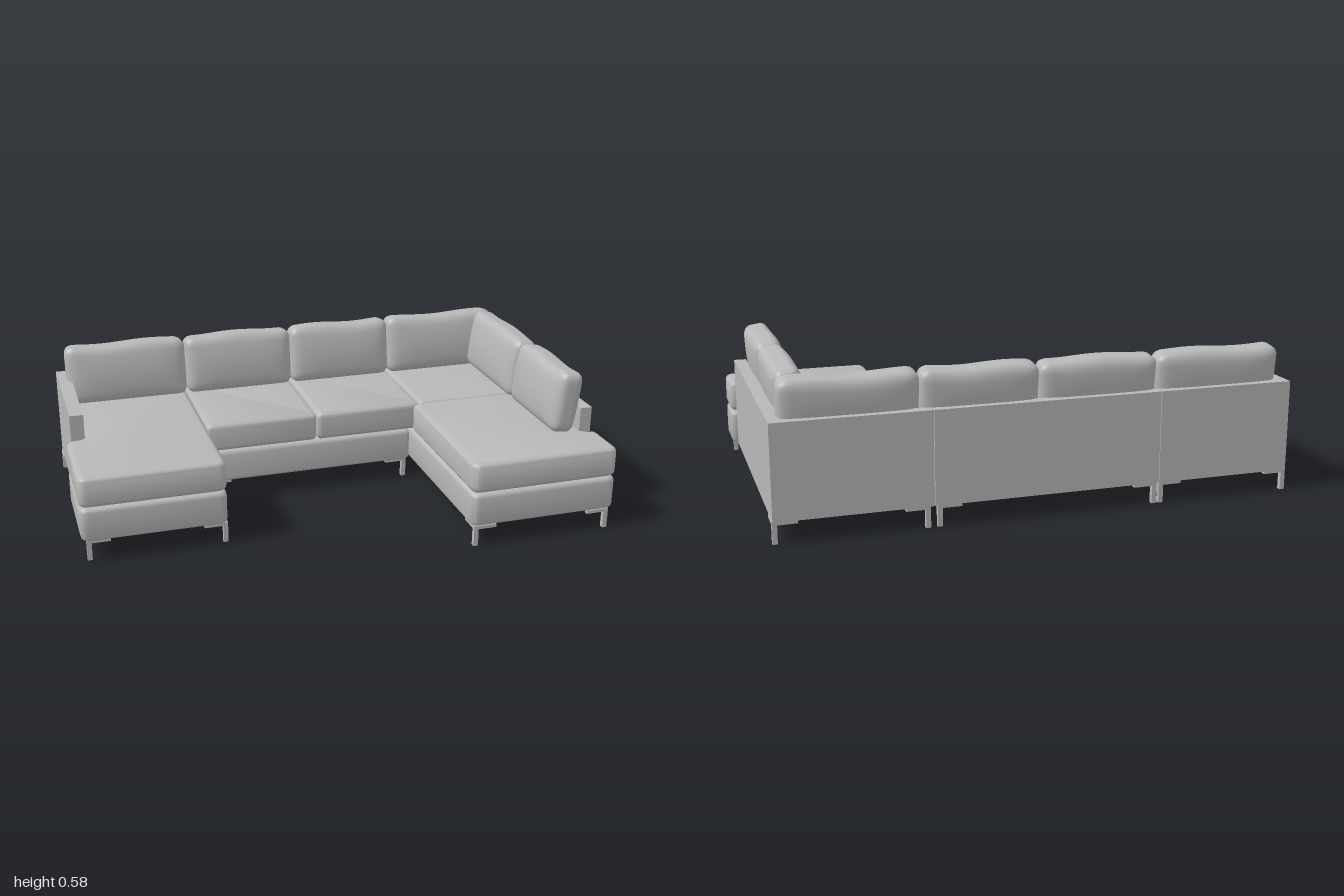
import * as THREE from 'three';
import { mergeVertices, toCreasedNormals } from 'three/addons/utils/BufferGeometryUtils.js';

const fabric = new THREE.MeshStandardMaterial({ color: 0xb8b8b8 });
fabric.name = 'grey upholstery';

function add(parent, name, geometry) {
  const mesh = new THREE.Mesh(geometry, fabric);
  mesh.name = name;
  parent.add(mesh);
  return mesh;
}

// Box given by its limits on each axis
function box(parent, name, [x0, x1], [y0, y1], [z0, z1]) {
  const mesh = add(parent, name, new THREE.BoxGeometry(x1 - x0, y1 - y0, z1 - z0));
  mesh.position.set((x0 + x1) / 2, (y0 + y1) / 2, (z0 + z1) / 2);
  return mesh;
}

// Upholstered slab: a floor outline of [x, z] corners with rounded corners and soft edges
function pad(parent, name, outline, y0, y1, bevel, radius = 0.035) {
  const pts = outline.map(([x, z]) => new THREE.Vector2(x, -z));
  const shape = new THREE.Shape();
  pts.forEach((p, i) => {
    const toward = (q) => {
      const d = q.clone().sub(p);
      return p.clone().add(d.setLength(Math.min(radius, d.length() * 0.45)));
    };
    const a = toward(pts[(i + pts.length - 1) % pts.length]);
    const b = toward(pts[(i + 1) % pts.length]);
    if (i === 0) shape.moveTo(a.x, a.y);
    else shape.lineTo(a.x, a.y);
    shape.quadraticCurveTo(p.x, p.y, b.x, b.y);
  });
  shape.closePath();
  const geometry = new THREE.ExtrudeGeometry(shape, {
    depth: y1 - y0 - 2 * bevel, bevelThickness: bevel, bevelSize: bevel,
    bevelOffset: -bevel, bevelSegments: 4, curveSegments: 5,
  });
  geometry.rotateX(-Math.PI / 2).translate(0, y0 + bevel, 0);
  return add(parent, name, toCreasedNormals(geometry, 0.8));
}

const rect = (x0, x1, z0, z1) => [[x0, z0], [x1, z0], [x1, z1], [x0, z1]];

// Loose back cushion: rounded block, fuller in the middle, with a slightly uneven top
function pillowGeometry(w, h, t, phase) {
  let geometry = new THREE.BoxGeometry(w, h, t, 28, 18, 10);
  geometry.deleteAttribute('uv');
  geometry.deleteAttribute('normal');
  geometry = mergeVertices(geometry);
  const pos = geometry.attributes.position;
  const r = 0.036;
  const inner = new THREE.Vector3(w / 2 - r, h / 2 - r, t / 2 - r);
  const p = new THREE.Vector3(), core = new THREE.Vector3();
  for (let i = 0; i < pos.count; i++) {
    p.fromBufferAttribute(pos, i);
    core.copy(p).clamp(inner.clone().negate(), inner);
    p.sub(core).setLength(r).add(core);
    const u = (2 * p.x) / w, v = (2 * p.y) / h;
    p.z *= 0.74 + 0.26 * (1 - u ** 4) * (1 - v * v);
    if (v > 0) p.y += 0.004 * v * Math.sin(u * 4 + phase);
    pos.setXYZ(i, p.x, p.y, p.z);
  }
  geometry.computeVertexNormals();
  return geometry;
}

// L-shaped leg bracket; dx and dz point toward the inside of the module
function leg(parent, x, z, dx, dz) {
  const g = new THREE.Group();
  g.name = 'leg';
  const s = 0.009, span = (d) => (d > 0 ? [-s, 0.08] : [-0.08, s]);
  box(g, 'legPost', [-s, s], [0, 0.08], [-s, s]);
  box(g, 'legBracketSide', span(dx), [0.068, 0.081], [-s, s]);
  box(g, 'legBracketFront', [-s, s], [0.068, 0.081], span(dz));
  g.position.set(x, 0, z);
  parent.add(g);
}

export function createModel() {
  const sofa = new THREE.Group();
  sofa.name = 'sectionalSofa';

  // Outlines of the two chaises, wider beyond the ends of the arms
  const leftChaise = [[-0.93, -0.56], [-0.452, -0.56], [-0.452, 0.305], [-1, 0.305], [-1, -0.078], [-0.93, -0.078]];
  const rightChaise = (z0) => [[0.407, z0], [0.945, z0], [0.945, 0.402], [0.995, 0.402], [0.995, 0.595], [0.407, 0.595]];

  // Bases
  pad(sofa, 'leftBase', leftChaise, 0.08, 0.212, 0.018);
  pad(sofa, 'middleBase', rect(-0.45, 0.405, -0.57, -0.068), 0.08, 0.212, 0.018, 0.02);
  pad(sofa, 'rightBase', rightChaise(-0.57), 0.08, 0.212, 0.018);

  // Seat cushions
  pad(sofa, 'leftSeat', leftChaise, 0.214, 0.332, 0.022);
  pad(sofa, 'middleSeat', rect(-0.45, 0.001, -0.56, -0.066), 0.214, 0.33, 0.022, 0.02);
  pad(sofa, 'middleSeat', rect(0.003, 0.441, -0.56, -0.066), 0.214, 0.33, 0.022, 0.02);
  pad(sofa, 'cornerSeat', rect(0.443, 0.945, -0.56, -0.07), 0.214, 0.33, 0.022, 0.02);
  pad(sofa, 'rightSeat', rightChaise(-0.068), 0.214, 0.332, 0.022);

  // Back panels, split at the module seams, and arms
  const seams = [-0.978, -0.451, 0.405, 0.972];
  for (let i = 0; i < 3; i++) {
    box(sofa, 'backPanel', [seams[i] + (i ? 0.001 : 0), seams[i + 1] - (i < 2 ? 0.001 : 0)], [0.08, 0.428], [-0.597, -0.553]);
  }
  box(sofa, 'rightArm', [-0.978, -0.925], [0.08, 0.428], [-0.553, -0.078]);
  box(sofa, 'leftArm', [0.925, 0.972], [0.08, 0.428], [-0.553, 0.402]);

  // Back cushions leaning on the back panels
  const backs = [-0.945, -0.451, 0.003, 0.441, 0.935];
  for (let i = 0; i < 4; i++) {
    const w = backs[i + 1] - backs[i];
    const cushion = add(sofa, 'backCushion', pillowGeometry(w - 0.002, 0.24, 0.13, i * 1.7));
    cushion.position.set(backs[i] + w / 2, 0.44, -0.505);
    cushion.rotation.x = -0.14;
  }

  // Side cushions leaning on the long arm
  [[-0.465, 0], [0.002, 0.412]].forEach(([z0, z1], i) => {
    const holder = new THREE.Group();
    holder.name = 'sideCushionHolder';
    holder.position.set(0.868, 0.453, (z0 + z1) / 2);
    holder.rotation.y = -Math.PI / 2;
    const cushion = add(holder, 'sideCushion', pillowGeometry(z1 - z0, 0.245, 0.125, i * 2 + 1));
    cushion.rotation.x = -0.14;
    sofa.add(holder);
  });

  // Legs at the corners of each module: [x0, x1, z front]
  [[-0.972, -0.462, 0.28], [-0.435, 0.385, -0.095], [0.428, 0.965, 0.58]].forEach(([x0, x1, zf]) => {
    for (const [x, dx] of [[x0, 1], [x1, -1]]) {
      leg(sofa, x, zf, dx, -1);
      leg(sofa, x, -0.583, dx, 1);
    }
  });

  return sofa;
}
